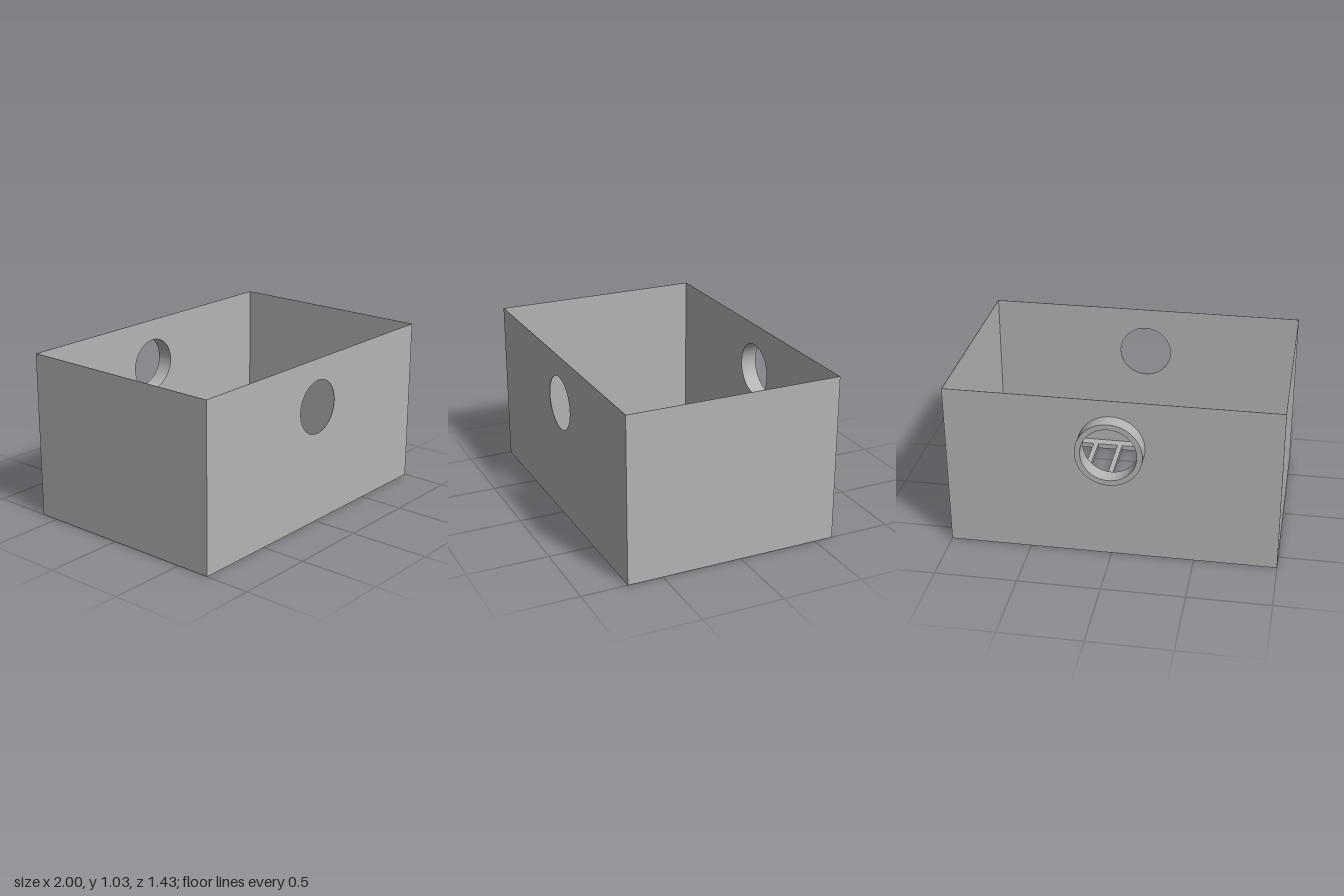
import * as THREE from 'three';
import { toCreasedNormals } from 'three/addons/utils/BufferGeometryUtils.js';

const U = 1 / 30;            // modelling unit: the box is 60 units wide
const W = 60 * U, H = 31 * U, D = 40 * U;
const WALL = 0.1 * U, FLOOR = U;
const BACK = -21.5 * U + 3 * U, FRONT = BACK + D;
const MID = (BACK + FRONT) / 2;
const HOLE_Y = 22 * U, HOLE_R = 5 * U, PIPE_R = 6 * U;

function rect(path, x0, y0, x1, y1) {
  path.moveTo(x0, y0);
  path.lineTo(x1, y0);
  path.lineTo(x1, y1);
  path.lineTo(x0, y1);
  path.closePath();
  return path;
}

function circle(path, y, r) {
  path.absarc(0, y, r, 0, Math.PI * 2, false);
  return path;
}

function extrude(shape, depth) {
  const geo = new THREE.ExtrudeGeometry(shape, { depth, bevelEnabled: false, curveSegments: 64 });
  return toCreasedNormals(geo, 0.5);
}

export function createModel() {
  const group = new THREE.Group();
  const grey = new THREE.MeshStandardMaterial({ color: 0xb4b4b4 });
  grey.name = 'grey';

  const add = (name, geo, x = 0, y = 0, z = 0) => {
    const mesh = new THREE.Mesh(geo, grey);
    mesh.name = name;
    mesh.position.set(x, y, z);
    group.add(mesh);
    return mesh;
  };

  // Front and back walls, each with a round opening
  const wall = rect(new THREE.Shape(), -W / 2, 0, W / 2, H);
  wall.holes.push(circle(new THREE.Path(), HOLE_Y, HOLE_R));
  const wallGeo = extrude(wall, WALL);
  add('frontWall', wallGeo, 0, 0, FRONT - WALL);
  add('backWall', wallGeo, 0, 0, BACK);

  // Side walls
  const sideGeo = new THREE.BoxGeometry(WALL, H, D - 2 * WALL);
  add('leftWall', sideGeo, W / 2 - WALL / 2, H / 2, MID);
  add('rightWall', sideGeo, -W / 2 + WALL / 2, H / 2, MID);

  // Floor with ten long drain slots
  const fx = W / 2 - WALL, fz = D / 2 - WALL;
  const floor = rect(new THREE.Shape(), -fx, -fz, fx, fz);
  for (let i = 0; i < 10; i++) {
    const x = (i - 4.5) * 5 * U;
    floor.holes.push(rect(new THREE.Path(), x - 2 * U, -18 * U, x + 2 * U, 18 * U));
  }
  const floorGeo = extrude(floor, FLOOR);
  floorGeo.rotateX(-Math.PI / 2);
  add('slottedFloor', floorGeo, 0, 0, MID);

  // Short pipe collar around the back opening
  const ring = circle(new THREE.Shape(), HOLE_Y, PIPE_R);
  ring.holes.push(circle(new THREE.Path(), HOLE_Y, HOLE_R));
  add('pipeCollar', extrude(ring, 3 * U), 0, 0, BACK - 3 * U);

  return group;
}
